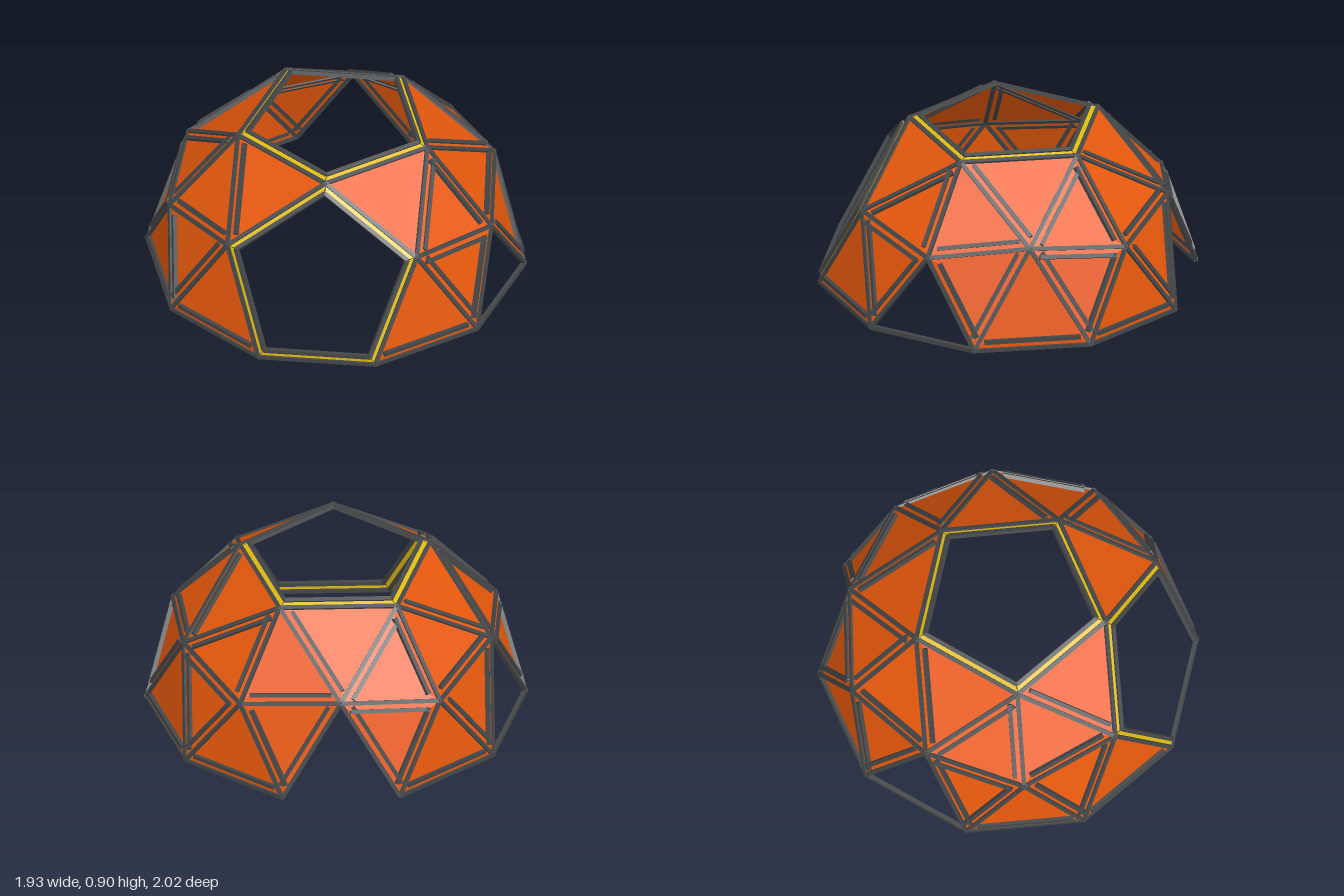
import * as THREE from 'three';

const BAND = 0.045;   // distance between the two rails of a strut
const RAIL = 0.022;   // rail thickness
const LIFT = 0.012;   // the base rails rest on the ground

export function createModel() {
  const dome = new THREE.Group();
  dome.name = 'geodesicDome';
  const mat = (color) => new THREE.MeshStandardMaterial({ color, side: THREE.DoubleSide });
  const orange = mat(0xe8590c), yellow = mat(0xe0bc10), grey = mat(0x444648);

  // Rings of the two-frequency dome, five points each
  const ring = (r, y, turn) => (k) => {
    const a = THREE.MathUtils.degToRad(72 * k + turn);
    return new THREE.Vector3(r * Math.cos(a), y + LIFT, r * Math.sin(a));
  };
  const top = ring(0.526, 0.851, 0);
  const hub = ring(0.894, 0.447, 0);
  const mid = ring(0.851, 0.526, 36);
  const baseA = ring(1, 0, 18);
  const baseB = ring(1, 0, -18);
  const apex = new THREE.Vector3(0, 1, 0);

  // Flat polygon from three or four corners
  function sheet(name, points, material) {
    const order = points.length === 4 ? [0, 1, 2, 0, 2, 3] : [0, 1, 2];
    const g = new THREE.BufferGeometry().setFromPoints(order.map((i) => points[i]));
    g.computeVertexNormals();
    const m = new THREE.Mesh(g, material);
    m.name = name;
    return m;
  }
  // Triangle panel, turned to face outward
  function panel(a, b, c) {
    const n = b.clone().sub(a).cross(c.clone().sub(a));
    dome.add(sheet('panel', n.dot(a) > 0 ? [a, b, c] : [a, c, b], orange));
  }
  // Square bar from a to b with its top facing n
  function rail(a, b, n, size = RAIL) {
    const dir = b.clone().sub(a);
    const m = new THREE.Mesh(new THREE.BoxGeometry(dir.length() + size * 0.5, size, size), grey);
    dir.normalize();
    m.quaternion.setFromRotationMatrix(
      new THREE.Matrix4().makeBasis(dir, n, dir.clone().cross(n)));
    m.position.copy(a).add(b).multiplyScalar(0.5);
    m.name = 'rail';
    return m;
  }
  // Strut: rail on the edge, second rail set in toward a point, strip between
  function strut(a, b, toward, color = orange) {
    const s = new THREE.Group();
    s.name = 'strut';
    const centre = a.clone().add(b).multiplyScalar(0.5);
    const dir = b.clone().sub(a).normalize();
    const n = centre.clone().setY(centre.y - LIFT).normalize();
    n.addScaledVector(dir, -n.dot(dir)).normalize();
    const side = n.clone().cross(dir).normalize();
    if (side.dot(toward.clone().sub(centre)) < 0) side.negate();
    const mitre = BAND * (color === yellow ? 0.73 : 1.3);
    const a2 = a.clone().addScaledVector(side, BAND).addScaledVector(dir, mitre);
    const b2 = b.clone().addScaledVector(side, BAND).addScaledVector(dir, -mitre);
    const quad = [a, b, b2, a2];
    const facing = b.clone().sub(a).cross(b2.clone().sub(a)).dot(n);
    s.add(rail(a, b, n), rail(a2, b2, n),
      sheet('strip', facing > 0 ? quad : quad.reverse(), color));
    dome.add(s);
  }

  for (let k = 0; k < 5; k++) {
    const open = k === 1;               // large front opening around this hub
    const t = top(k), h = hub(k), m = mid(k), p = mid(k - 1);
    const bA = baseA(k), bB = baseB(k), bNext = baseB(k + 1), tNext = top(k + 1);
    const lining = open ? yellow : orange;

    // Panels
    panel(t, tNext, m);
    if (!open) {
      panel(t, m, h);
      panel(t, h, p);
      panel(h, m, bA);
      panel(h, p, bB);
      if (k !== 0) panel(h, bA, bB);    // right-hand side opening
    }
    if (k !== 2 && k !== 3) panel(m, bA, bNext); // side opening and doorway

    // Struts of the roof ring and around each hub
    strut(t, tNext, apex, yellow);
    strut(t, m, h, lining);
    strut(t, p, open ? h : top(k - 1), lining);
    strut(m, bA, h, lining);
    strut(p, bB, h, lining);
    if (!open) {
      strut(t, h, m);
      strut(h, m, bA);
      strut(h, p, t);
      strut(h, bA, m);
      strut(h, bB, p);
    }

    // Base struts: plain bar under side openings, none at the doorway
    const out = (a, b) => a.clone().add(b).setY(0).normalize();
    if (k === 0) dome.add(rail(bA, bB, out(bA, bB), 0.024));
    else strut(bA, bB, h, lining);
    if (k === 2) dome.add(rail(bA, bNext, out(bA, bNext), 0.024));
    else if (k !== 3) strut(bA, bNext, m);
  }
  return dome;
}
